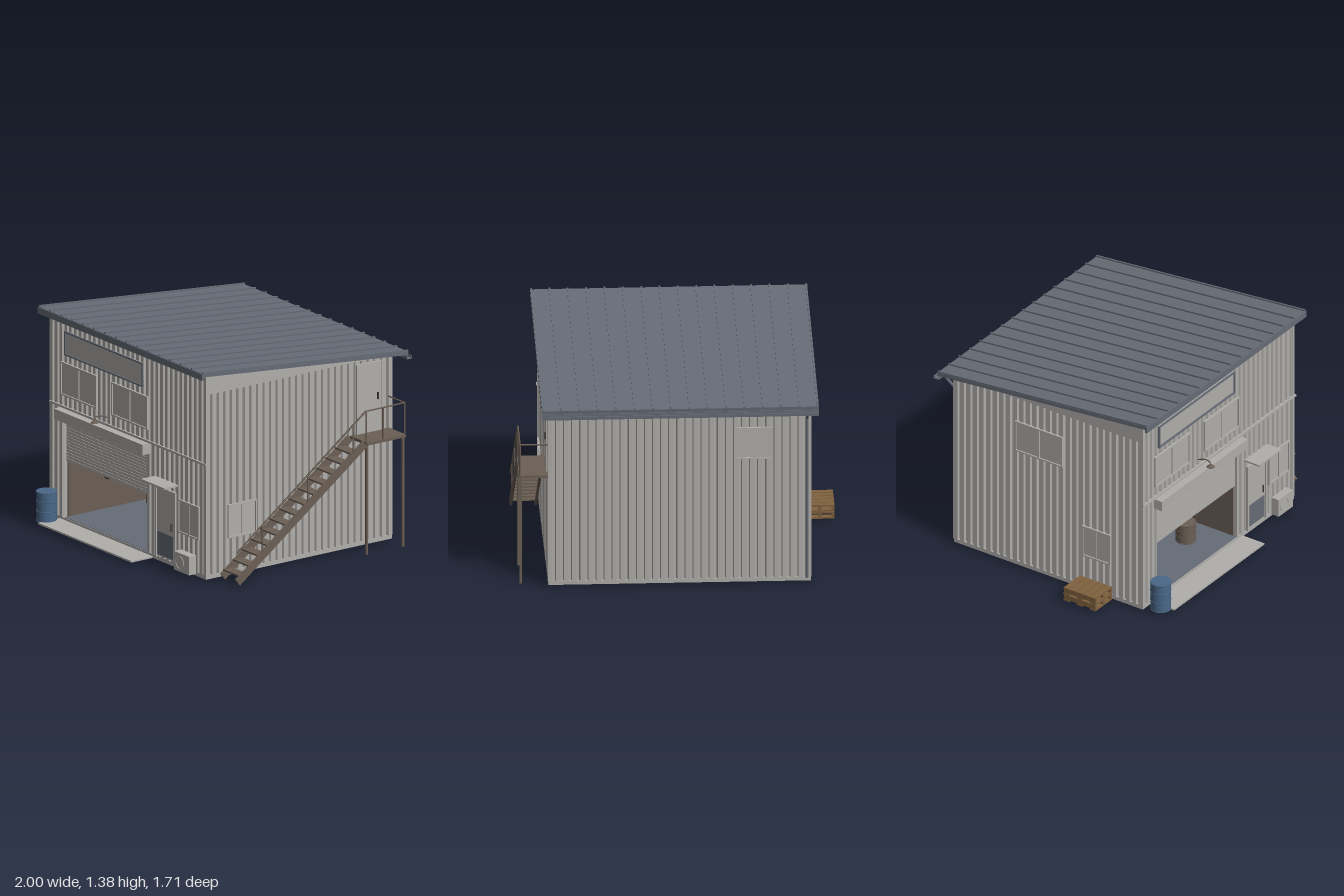
import * as THREE from 'three';

const mat = (name, color) => Object.assign(new THREE.MeshStandardMaterial({ color }), { name });
const M = {
  wall: mat('light grey metal', 0xb0aeab),
  slate: mat('slate', 0x666c76),
  steel: mat('brown steel', 0x6b5f55),
  wood: mat('wood', 0x80613f),
  blue: mat('drum blue', 0x4a6788),
  red: mat('tool chest red', 0xa83632),
  dark: mat('charcoal', 0x45423f),
};

function add(parent, name, geo, m) {
  const mesh = new THREE.Mesh(geo, m);
  mesh.name = name;
  parent.add(mesh);
  return mesh;
}
function group(parent, name) {
  const g = new THREE.Group();
  g.name = name;
  parent.add(g);
  return g;
}
// box given by its extents on each axis
function box(parent, name, m, x0, x1, y0, y1, z0, z1) {
  const b = add(parent, name, new THREE.BoxGeometry(x1 - x0, y1 - y0, z1 - z0), m);
  b.position.set((x0 + x1) / 2, (y0 + y1) / 2, (z0 + z1) / 2);
  return b;
}
// round bar between two points
function bar(parent, name, m, a, b, r = 0.005) {
  const p = new THREE.Vector3(...a), q = new THREE.Vector3(...b);
  const c = add(parent, name, new THREE.CylinderGeometry(r, r, p.distanceTo(q), 8), m);
  c.position.copy(p).lerp(q, 0.5);
  c.quaternion.setFromUnitVectors(new THREE.Vector3(0, 1, 0), q.sub(p).normalize());
  return c;
}
// corrugated sheet, crests at local z = 0
function sheet(parent, name, u0, u1, y0, y1) {
  const s = new THREE.Shape(), pitch = 0.05, d = 0.014;
  s.moveTo(u0, 0.025);
  s.lineTo(u0, 0);
  for (let u = u0; u + pitch <= u1 + 1e-6; u += pitch) {
    s.lineTo(u + 0.026, 0);
    s.lineTo(u + 0.032, d);
    s.lineTo(u + 0.042, d);
    s.lineTo(u + 0.048, 0);
  }
  s.lineTo(u1, 0);
  s.lineTo(u1, 0.025);
  const geo = new THREE.ExtrudeGeometry(s, { depth: y1 - y0, bevelEnabled: false });
  add(parent, name, geo.rotateX(-Math.PI / 2).translate(0, y0, 0), M.wall);
}
// framed window on a wall, divided into panes
function window_(parent, u0, u1, y0, y1, panes = 2, frame = M.wall) {
  const w = group(parent, 'window'), t = 0.01;
  box(w, 'glass', M.wall, u0, u1, y0, y1, -0.005, 0.003);
  box(w, 'frameTop', frame, u0, u1, y1 - t, y1, 0, 0.012);
  box(w, 'frameBottom', frame, u0, u1, y0, y0 + t, 0, 0.012);
  box(w, 'frameSide', frame, u0, u0 + t, y0 + t, y1 - t, 0, 0.012);
  box(w, 'frameSide', frame, u1 - t, u1, y0 + t, y1 - t, 0, 0.012);
  for (let i = 1; i < panes; i++) {
    const u = u0 + (u1 - u0) * i / panes;
    box(w, 'mullion', frame, u - 0.004, u + 0.004, y0 + t, y1 - t, 0, 0.01);
  }
}
// ribbed drum
function drum(parent, m, x, y, z, r, h) {
  const g = group(parent, 'drum');
  g.position.set(x, y, z);
  add(g, 'drumBody', new THREE.CylinderGeometry(r * 0.97, r * 0.97, h - 0.004, 24), m).position.y = h / 2;
  for (const f of [0.03, 0.35, 0.67, 0.97]) {
    add(g, 'drumRing', new THREE.TorusGeometry(r * 0.96, r * 0.05, 6, 24).rotateX(Math.PI / 2), m).position.y = h * f;
  }
}

function buildWalls(root) {
  const L = -0.81, R = 0.815, F = 0.69, B = -0.737, Y = 0.05;
  const wall = (name, x, z, turn) => {
    const g = group(root, name);
    g.position.set(x, 0, z);
    g.rotation.y = turn;
    return g;
  };
  const front = wall('frontWall', 0, F, 0), back = wall('backWall', 0, B, Math.PI);
  const right = wall('rightWall', L, 0, -Math.PI / 2), left = wall('leftWall', R, 0, Math.PI / 2);

  // front: sheets around the garage opening
  sheet(front, 'upperSheet', L, R, 0.77, 1.35);
  sheet(front, 'lowerSheet', L, -0.66, Y, 0.77);
  sheet(front, 'lowerSheet', 0.2, R, Y, 0.77);
  box(front, 'lintel', M.wall, -0.66, 0.2, 0.69, 0.77, -0.03, 0);
  box(front, 'floorBand', M.wall, L, R + 0.01, 0.763, 0.777, -0.01, 0.01);
  window_(front, -0.65, 0.17, 1.11, 1.265, 1, M.slate);
  window_(front, -0.69, -0.315, 0.845, 1.06);
  window_(front, -0.16, 0.215, 0.845, 1.06);
  window_(front, 0.535, 0.755, 0.265, 0.48);

  // roller shutter, half open
  box(front, 'shutterBox', M.wall, -0.69, 0.235, 0.695, 0.762, -0.01, 0.06);
  for (let i = 0; i < 14; i++) {
    const y = 0.415 + i * 0.02;
    box(front, 'shutterSlat', M.wall, -0.66, 0.2, y + 0.002, y + 0.02, -0.025, -0.014);
  }
  box(front, 'shutterBack', M.wall, -0.66, 0.2, 0.415, 0.7, -0.027, -0.018);
  box(front, 'shutterHandle', M.dark, -0.25, -0.21, 0.412, 0.42, -0.02, -0.004);

  // entrance door and its hood
  box(front, 'doorLeaf', M.wall, 0.315, 0.495, 0.06, 0.5, -0.005, 0.006);
  box(front, 'doorFrame', M.wall, 0.3, 0.315, 0.05, 0.51, -0.01, 0.014);
  box(front, 'doorFrame', M.wall, 0.495, 0.51, 0.05, 0.51, -0.01, 0.014);
  box(front, 'doorFrame', M.wall, 0.315, 0.495, 0.5, 0.51, -0.01, 0.014);
  box(front, 'doorKickPanel', M.slate, 0.325, 0.485, 0.07, 0.22, 0.004, 0.01);
  box(front, 'doorHandle', M.dark, 0.465, 0.472, 0.25, 0.3, 0.005, 0.015);
  box(front, 'doorHood', M.wall, 0.285, 0.525, 0.554, 0.565, -0.01, 0.11);

  // outdoor fan unit
  box(front, 'fanUnit', M.wall, 0.565, 0.72, 0.04, 0.16, 0.005, 0.06);
  const fan = add(front, 'fanGrille', new THREE.CircleGeometry(0.04, 20), M.wall);
  fan.position.set(0.625, 0.1, 0.062);
  add(front, 'fanRing', new THREE.TorusGeometry(0.04, 0.003, 6, 24), M.wall).position.copy(fan.position);

  // gooseneck lamp
  const neck = new THREE.CatmullRomCurve3([[0.815, 0], [0.828, 0.03], [0.836, 0.065], [0.828, 0.09], [0.812, 0.096]]
    .map(([y, z]) => new THREE.Vector3(-0.217, y, z)));
  add(front, 'lampArm', new THREE.TubeGeometry(neck, 16, 0.004, 6), M.steel);
  add(front, 'lampShade', new THREE.CylinderGeometry(0.007, 0.026, 0.018, 16), M.steel).position.set(-0.217, 0.805, 0.096);

  // other walls
  sheet(back, 'backSheet', -R, -L, Y, 1.22);
  window_(back, 0.34, 0.575, 0.85, 1.06);
  sheet(right, 'sideSheet', B, F, Y, 1.22);
  window_(right, -0.27, 0.09, 0.845, 1.06);
  window_(right, 0.235, 0.45, 0.265, 0.48);
  sheet(left, 'sideSheet', -F, -B, Y, 1.22);
  window_(left, -0.525, -0.307, 0.265, 0.48);
  box(left, 'upperDoor', M.wall, 0.46, 0.65, 0.75, 1.2, -0.005, 0.01);
  box(left, 'upperDoorHandle', M.dark, 0.615, 0.622, 0.955, 1.0, 0.008, 0.022);

  // gables, corner trims and base
  const gable = new THREE.Shape([[-F, 1.22], [-B, 1.22], [-F, 1.357]].map(p => new THREE.Vector2(...p)));
  const gableGeo = new THREE.ExtrudeGeometry(gable, { depth: 0.02, bevelEnabled: false }).rotateY(Math.PI / 2);
  add(root, 'gable', gableGeo, M.wall).position.x = R - 0.02;
  add(root, 'gable', gableGeo, M.wall).position.x = L;
  for (const x of [L, R]) for (const [z, top] of [[F, 1.35], [B, 1.22]]) {
    const sx = Math.sign(x), sz = Math.sign(z), xs = [x - sx * 0.022, x + sx * 0.003].sort((a, b) => a - b);
    const zs = [z - sz * 0.03, z + sz * 0.003].sort((a, b) => a - b);
    box(root, 'cornerTrim', M.wall, ...xs, Y, top, ...zs);
  }
  box(root, 'baseSlab', M.wall, L, R, 0.025, Y, B, F);
  box(root, 'apron', M.wall, -0.71, 0.26, 0.025, 0.036, F, 0.855);
}

function buildRoof(root) {
  const roof = group(root, 'roof');
  roof.position.set(0.0025, 1.305, -0.04);
  roof.rotation.x = -0.095;
  box(roof, 'roofPanel', M.slate, -0.857, 0.857, -0.022, 0, -0.793, 0.79);
  for (let i = 0; i <= 15; i++) {
    const x = -0.85 + i * 1.7 / 15;
    box(roof, 'roofSeam', M.slate, x - 0.005, x + 0.005, 0, 0.01, -0.793, 0.79);
  }
  box(root, 'frontFascia', M.slate, -0.855, 0.86, 1.337, 1.378, 0.738, 0.752);
  // rear gutter and downpipe
  const gutter = group(root, 'gutter');
  box(gutter, 'gutterFloor', M.slate, -0.855, 0.86, 1.18, 1.187, -0.858, -0.82);
  box(gutter, 'gutterLip', M.slate, -0.855, 0.86, 1.187, 1.2, -0.858, -0.852);
  box(gutter, 'gutterBack', M.slate, -0.855, 0.86, 1.187, 1.205, -0.826, -0.82);
  bar(gutter, 'downpipeElbow', M.slate, [-0.785, 1.185, -0.835], [-0.785, 1.12, -0.748], 0.009);
  bar(gutter, 'downpipe', M.slate, [-0.785, 1.125, -0.748], [-0.785, 0.05, -0.748], 0.009);
}

function buildWorkshop(root) {
  const g = group(root, 'workshop'), zb = -0.13;
  box(g, 'floor', M.slate, -0.66, 0.2, 0.048, 0.053, zb, 0.685);
  box(g, 'rearPartition', M.slate, -0.68, 0.22, 0.05, 0.76, zb - 0.02, zb);
  box(g, 'sidePartition', M.steel, -0.68, -0.66, 0.05, 0.76, zb, 0.66);
  box(g, 'sidePartition', M.steel, 0.2, 0.22, 0.05, 0.76, zb, 0.66);
  box(g, 'ceiling', M.wall, -0.68, 0.22, 0.74, 0.76, zb, 0.66);
  // workbench with vice
  box(g, 'benchTop', M.wood, -0.61, -0.205, 0.236, 0.25, -0.11, 0.12);
  box(g, 'benchRail', M.wood, -0.6, -0.215, 0.212, 0.222, 0.09, 0.1);
  for (const x of [-0.59, -0.225]) for (const z of [-0.09, 0.1]) {
    box(g, 'benchLeg', M.wood, x - 0.009, x + 0.009, 0.053, 0.236, z - 0.009, z + 0.009);
  }
  box(g, 'vice', M.dark, -0.29, -0.255, 0.25, 0.278, 0.05, 0.1);
  // tool board
  box(g, 'toolBoard', M.wood, -0.59, -0.23, 0.305, 0.52, zb, zb + 0.01);
  [[-0.45, 0.34, M.wall], [-0.375, 0.4, M.wall], [-0.295, 0.355, M.blue], [-0.54, 0.37, M.steel]].forEach(([x, y, m]) =>
    box(g, 'hangingTool', m, x - 0.012, x + 0.012, y, 0.45, zb + 0.01, zb + 0.018));
  // tool chest
  box(g, 'toolChest', M.red, 0.02, 0.17, 0.053, 0.26, zb + 0.01, 0.0);
  for (let i = 0; i < 5; i++) {
    box(g, 'drawerGap', M.dark, 0.028, 0.162, 0.09 + i * 0.034, 0.093 + i * 0.034, -0.001, 0.003);
  }
  drum(g, M.steel, -0.007, 0.053, 0.45, 0.065, 0.133);
}

function buildStairs(root) {
  const g = group(root, 'stairs'), x0 = 0.83, x1 = 0.99, xr = 0.988;
  const yAt = z => 0.03 + (0.575 - z) * 0.733;
  // sloped stringers and treads
  for (const x of [x0, x1 - 0.006]) {
    const s = box(g, 'stringer', M.steel, x - 0.004, x + 0.01, -0.025, 0.025, -0.605, 0.605);
    s.position.set(x + 0.003, yAt(0.0875), 0.0875);
    s.rotation.x = Math.atan(0.733);
  }
  for (let i = 0; i < 13; i++) {
    const z = 0.535 - i * 0.0715, y = yAt(z) + 0.012;
    box(g, 'tread', M.steel, x0, x1, y - 0.005, y + 0.005, z - 0.035, z + 0.035);
  }
  // landing on posts
  box(g, 'landing', M.steel, 0.815, 0.995, 0.732, 0.75, -0.71, -0.415);
  for (const z of [-0.417, -0.695]) box(g, 'landingPost', M.steel, 0.977, 0.992, 0.025, 0.74, z - 0.007, z + 0.007);
  // outer handrail
  const top = 0.955;
  bar(g, 'stairRail', M.steel, [xr, 0.224, 0.577], [xr, top, -0.407], 0.006);
  bar(g, 'landingRail', M.steel, [xr, top, -0.405], [xr, top, -0.708]);
  bar(g, 'endRail', M.steel, [0.82, top, -0.706], [xr, top, -0.706]);
  for (const z of [0.385, 0.037, -0.312]) bar(g, 'railPost', M.steel, [xr, yAt(z), z], [xr, yAt(z) + 0.19, z]);
  for (const z of [-0.412, -0.54, -0.706]) bar(g, 'railPost', M.steel, [xr, 0.74, z], [xr, top, z]);
}

function buildPallets(root) {
  const g = group(root, 'pallets');
  for (let k = 0; k < 2; k++) {
    const y = 0.027 + k * 0.047;
    for (let i = 0; i < 3; i++) {
      box(g, 'runner', M.wood, -0.998 + i * 0.08, -0.982 + i * 0.08, y + 0.01, y + 0.034, 0.225, 0.465);
    }
    for (let i = 0; i < 5; i++) {
      const z = 0.225 + i * 0.0492;
      box(g, 'deckBoard', M.wood, -1, -0.822, y + 0.034, y + 0.045, z, z + 0.043);
      if (i % 2 === 0) box(g, 'bottomBoard', M.wood, -1, -0.822, y, y + 0.01, z, z + 0.043);
    }
  }
}

export function createModel() {
  const root = new THREE.Group();
  root.name = 'workshopBuilding';
  buildWalls(root);
  buildRoof(root);
  buildWorkshop(root);
  buildStairs(root);
  buildPallets(root);
  drum(root, M.blue, -0.735, 0.027, 0.772, 0.066, 0.198);
  return root;
}
